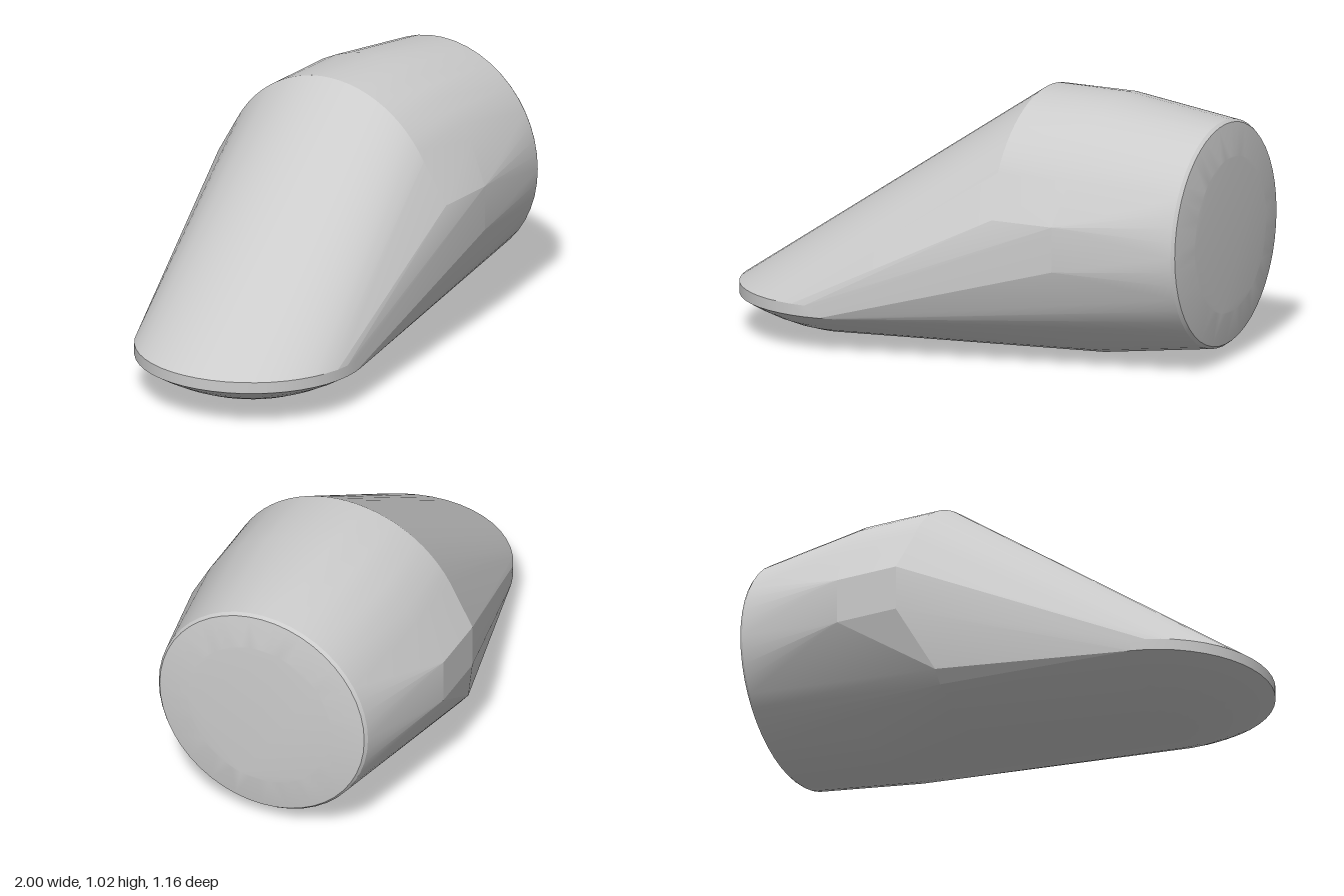
import * as THREE from 'three';
import { ConvexGeometry } from 'three/addons/geometries/ConvexGeometry.js';
import { toCreasedNormals } from 'three/addons/utils/BufferGeometryUtils.js';

const V = (x, y, z) => new THREE.Vector3(x, y, z);

// points of a circle facing x, around the body axis
function ring(x, r, from = 0, to = Math.PI * 2, n = 48) {
  return Array.from({ length: n + 1 }, (_, i) => {
    const a = from + (to - from) * i / n;
    return V(x, 0.51 + r * Math.sin(a), -0.033 + r * Math.cos(a));
  });
}

// points of a horizontal circle around the toe centre
function toeRing(y, r, n = 48) {
  return Array.from({ length: n }, (_, i) => {
    const a = Math.PI * 2 * i / n;
    return V(-0.545 + r * Math.cos(a), y, 0.122 + r * Math.sin(a));
  });
}

export function createModel() {
  const group = new THREE.Group();
  const points = [];

  // slightly domed end cap
  points.push(...ring(0.965, 0.45), ...ring(0.978, 0.44), ...ring(1, 0.31));

  // widest part: upper arch, full girth and flat side pads
  points.push(...ring(0.21, 0.51, 0.18, Math.PI - 0.18, 32), ...ring(0.52, 0.51));
  for (const x of [0.23, 0.49]) points.push(V(x, 0.6, 0.5), V(x, 0.6, -0.58), V(x, 0.42, -0.58));
  points.push(V(0.49, 0.42, 0.5));

  // thin toe edge and its shallow bowl-shaped underside
  const R = 0.456;
  points.push(...toeRing(0.19, R), ...toeRing(0.145, R));
  for (const t of [0.88, 0.75, 0.6, 0.45, 0.3, 0.15]) points.push(...toeRing(0.003 + 0.142 * t * t, R * t));

  // rounded rear edge of the sole
  for (const [y, z] of [[0.165, -0.5], [0.115, -0.46], [0.08, -0.4], [0.04, -0.3], [0.015, -0.2], [0.004, -0.1]])
    points.push(V(0.1, y, z));

  const geometry = toCreasedNormals(new ConvexGeometry(points), 0.2);
  const body = new THREE.Mesh(geometry, new THREE.MeshStandardMaterial({ color: 0xcccccc }));
  body.name = 'taperedBody';
  group.add(body);
  return group;
}
